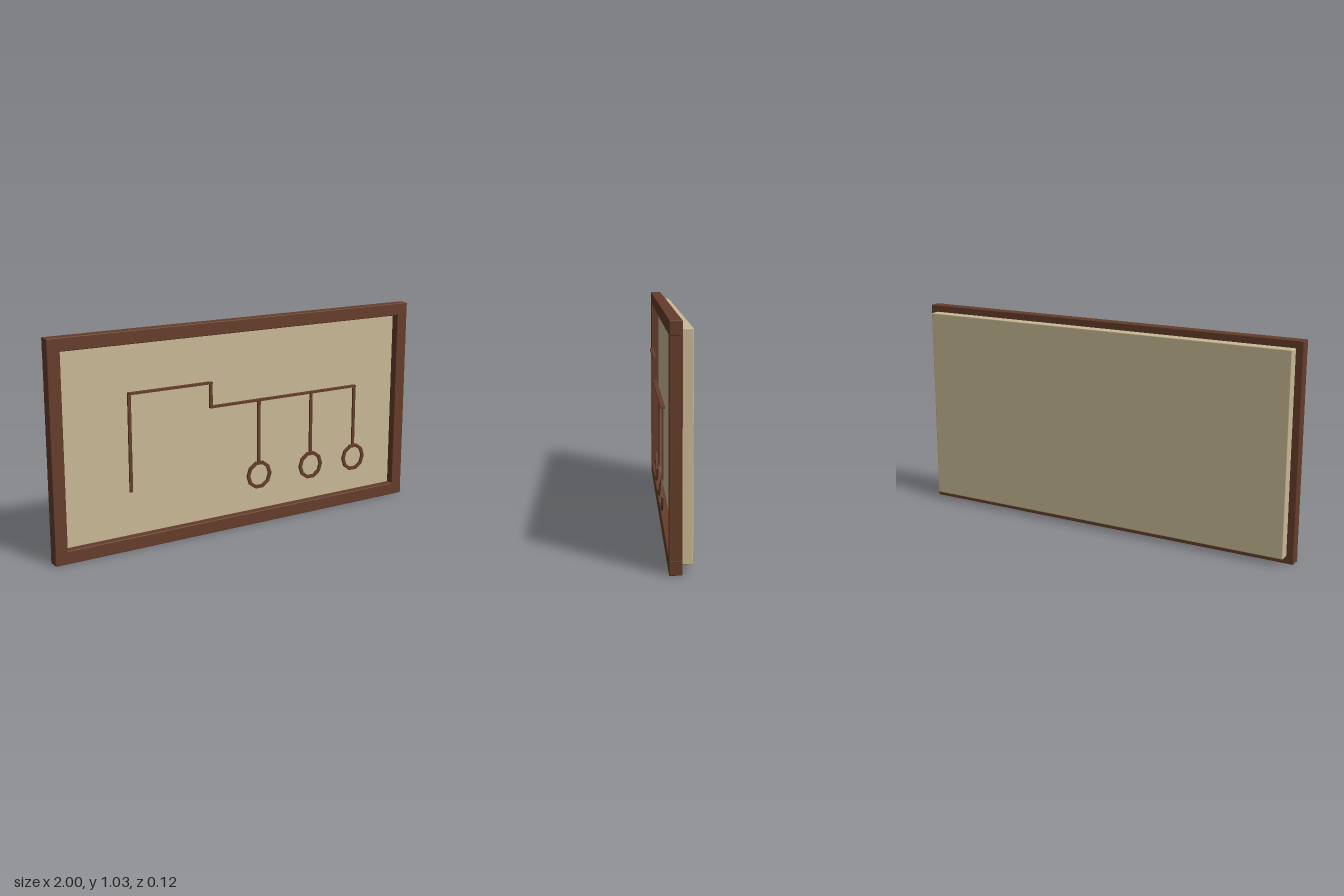
import * as THREE from 'three';
import { RoundedBoxGeometry } from 'three/addons/geometries/RoundedBoxGeometry.js';

export function createModel() {
  const group = new THREE.Group();
  const wood = new THREE.MeshStandardMaterial({ color: 0x653d2b });
  wood.name = 'darkWood';
  const cream = new THREE.MeshStandardMaterial({ color: 0xc9ba96 });
  cream.name = 'creamPanel';

  function add(name, geometry, material, x, y, z) {
    const mesh = new THREE.Mesh(geometry, material);
    mesh.name = name;
    mesh.position.set(x, y, z);
    group.add(mesh);
    return mesh;
  }

  // Backing panel, standing out behind the frame
  add('panel', new RoundedBoxGeometry(1.93, 0.96, 0.061, 2, 0.005), cream, 0, 0.515, -0.0275);

  // Frame: rails along top and bottom, stiles at both sides
  const frameZ = 0.015, frameDepth = 0.054;
  for (const [name, y] of [['bottomRail', 0.032], ['topRail', 0.998]]) {
    add(name, new RoundedBoxGeometry(2, 0.062, frameDepth, 2, 0.004), wood, 0, y, frameZ);
  }
  for (const [name, s] of [['leftStile', 1], ['rightStile', -1]]) {
    add(name, new RoundedBoxGeometry(0.06, 0.95, frameDepth, 2, 0.003), wood, s * 0.969, 0.515, frameZ);
  }

  // Horizontal strokes: [x start, x end, y]
  for (const [x0, x1, y] of [[-0.625, -0.19, 0.747], [-0.2, 0.66, 0.631]]) {
    add('horizontalStroke', new THREE.BoxGeometry(x1 - x0, 0.01, 0.02), wood, (x0 + x1) / 2, y, 0.052);
  }

  // Vertical strokes: [x, y bottom, y top]
  const hangers = [0.075, 0.385, 0.655];
  const uprights = [[-0.622, 0.288, 0.747], [-0.195, 0.631, 0.747], ...hangers.map(x => [x, 0.318, 0.631])];
  for (const [x, y0, y1] of uprights) {
    add('verticalStroke', new THREE.BoxGeometry(0.015, y1 - y0, 0.008), wood, x, (y0 + y1) / 2, 0.053);
  }

  // Ten-sided rings at the ends of the hanging strokes
  const corners = r => Array.from({ length: 10 }, (_, i) =>
    new THREE.Vector2(r * Math.cos(i * Math.PI / 5), r * Math.sin(i * Math.PI / 5)));
  const ringShape = new THREE.Shape(corners(0.071));
  ringShape.holes.push(new THREE.Path(corners(0.054).reverse()));
  const ringGeometry = new THREE.ExtrudeGeometry(ringShape, { depth: 0.009, bevelEnabled: false });
  for (const x of hangers) add('ring', ringGeometry, wood, x, 0.257, 0.052);

  return group;
}
